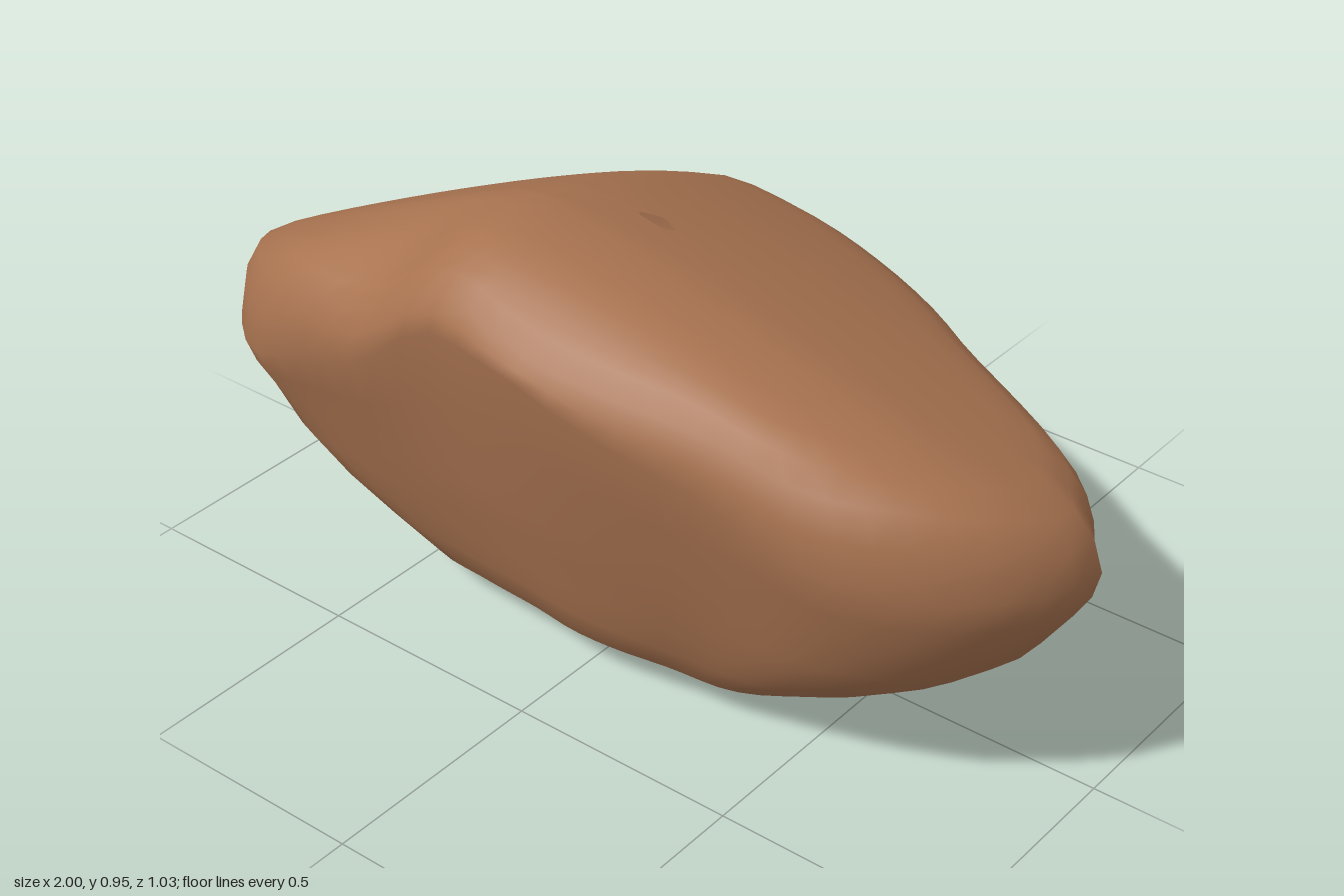
import * as THREE from 'three';

const CX = -0.02, CZ = 0.045; // vertical axis the rings close around
const SEGMENTS = 64;

// widest outline as x, z, running from the right tip round the front
const OUTLINE = [
  [1, 0.05], [0.97, 0.19], [0.87, 0.33], [0.68, 0.44], [0.4, 0.475], [0.2, 0.505],
  [0, 0.515], [-0.2, 0.495], [-0.47, 0.48], [-0.74, 0.45], [-0.9, 0.33], [-1, 0.2],
  [-0.92, 0.04], [-0.84, -0.05], [-0.7, -0.19], [-0.6, -0.28], [-0.4, -0.41],
  [-0.27, -0.495], [-0.02, -0.515], [0.2, -0.45], [0.4, -0.355], [0.54, -0.265],
  [0.88, -0.1], [0.96, 0.01],
];

// underside rings: height, then outline scale sideways, forwards and backwards
const UNDERSIDE = [
  [0, 0.035, 0.045, 0.04], [0.003, 0.1, 0.13, 0.1], [0.012, 0.21, 0.27, 0.21],
  [0.04, 0.38, 0.48, 0.4], [0.09, 0.54, 0.6, 0.56], [0.16, 0.68, 0.66, 0.64],
  [0.24, 0.8, 0.71, 0.71], [0.32, 0.89, 0.76, 0.79], [0.41, 0.95, 0.82, 0.88],
];

// top face: a blunt ridge running front to back, falling to both tips
function topHeight(x, z) {
  const d = x + 0.2;
  const ridge = Math.sqrt(d * d + 0.003) - 0.055;
  const side = d > 0 ? 0.13 * ridge + 0.1 * d * d : 0.41 * ridge + 0.07 * d * d;
  const u = Math.max(0, 0.2 - z);
  const back = 0.2 * u + 0.24 * u * u;
  const front = 2.7 * Math.max(0, z - 0.3) ** 2;
  const dent = 0.07 * Math.exp(-((x + 0.42) ** 2 + (z - 0.42) ** 2) / 0.02);
  return 0.95 - side - back - front - dent;
}

// height of the widest line, sagging towards the tips and front corners
function rimHeight({ x, z }) {
  const sag = 0.06 * Math.abs(x) + 0.24 * Math.abs(x) * Math.max(0, z);
  return topHeight(x, z) - 0.02 - sag - 0.09 * Math.max(0, -z);
}

function rockGeometry() {
  const curve = new THREE.CatmullRomCurve3(
    OUTLINE.map(([x, z]) => new THREE.Vector3(x, 0, z)), true, 'centripetal');
  const rim = curve.getSpacedPoints(SEGMENTS).slice(0, SEGMENTS);
  const positions = [];
  const indices = [];
  let rings = 0;

  // the corners of each ring are kept fuller than its middle
  const addRing = (sx, sFront, sBack, heightAt) => {
    for (const p of rim) {
      const s = p.z > CZ ? sFront : sBack;
      const fuller = s + Math.max(0, sx - s) * 0.75 * Math.min(1, p.x * p.x * 1.4);
      const x = CX + (p.x - CX) * sx;
      const z = CZ + (p.z - CZ) * fuller;
      positions.push(x, heightAt(x, z, p), z);
    }
    rings++;
  };

  // underside, then the flank up to the widest line
  for (const [y, sx, sf, sb] of UNDERSIDE) addRing(sx, sf, sb, () => y);
  addRing(0.985, 0.91, 0.96, (x, z, p) => 0.41 + (rimHeight(p) - 0.41) * 0.5);
  addRing(1, 1, 1, (x, z, p) => rimHeight(p));

  // rounded shoulder and top face, left open by a pinhole
  addRing(0.98, 0.98, 0.98, (x, z, p) => THREE.MathUtils.lerp(rimHeight(p), topHeight(x, z), 0.6));
  addRing(0.94, 0.94, 0.94, (x, z) => topHeight(x, z) - 0.01);
  for (const s of [0.87, 0.78, 0.68, 0.57, 0.45, 0.32, 0.2, 0.1, 0.04]) {
    addRing(s, s, s, (x, z) => topHeight(x, z));
  }

  for (let i = 0; i < rings - 1; i++) {
    for (let j = 0; j < SEGMENTS; j++) {
      const k = (j + 1) % SEGMENTS;
      const a = i * SEGMENTS + j, b = i * SEGMENTS + k;
      const c = a + SEGMENTS, d = b + SEGMENTS;
      indices.push(a, c, b, b, c, d);
    }
  }
  const geometry = new THREE.BufferGeometry();
  geometry.setAttribute('position', new THREE.Float32BufferAttribute(positions, 3));
  geometry.setIndex(indices);
  geometry.computeVertexNormals();
  return geometry;
}

export function createModel() {
  const brownStone = new THREE.MeshStandardMaterial({ color: 0xa87350, side: THREE.DoubleSide });
  brownStone.name = 'brown stone';

  const rock = new THREE.Mesh(rockGeometry(), brownStone);
  rock.name = 'rock';

  const group = new THREE.Group();
  group.name = 'boulder';
  group.add(rock);
  return group;
}
